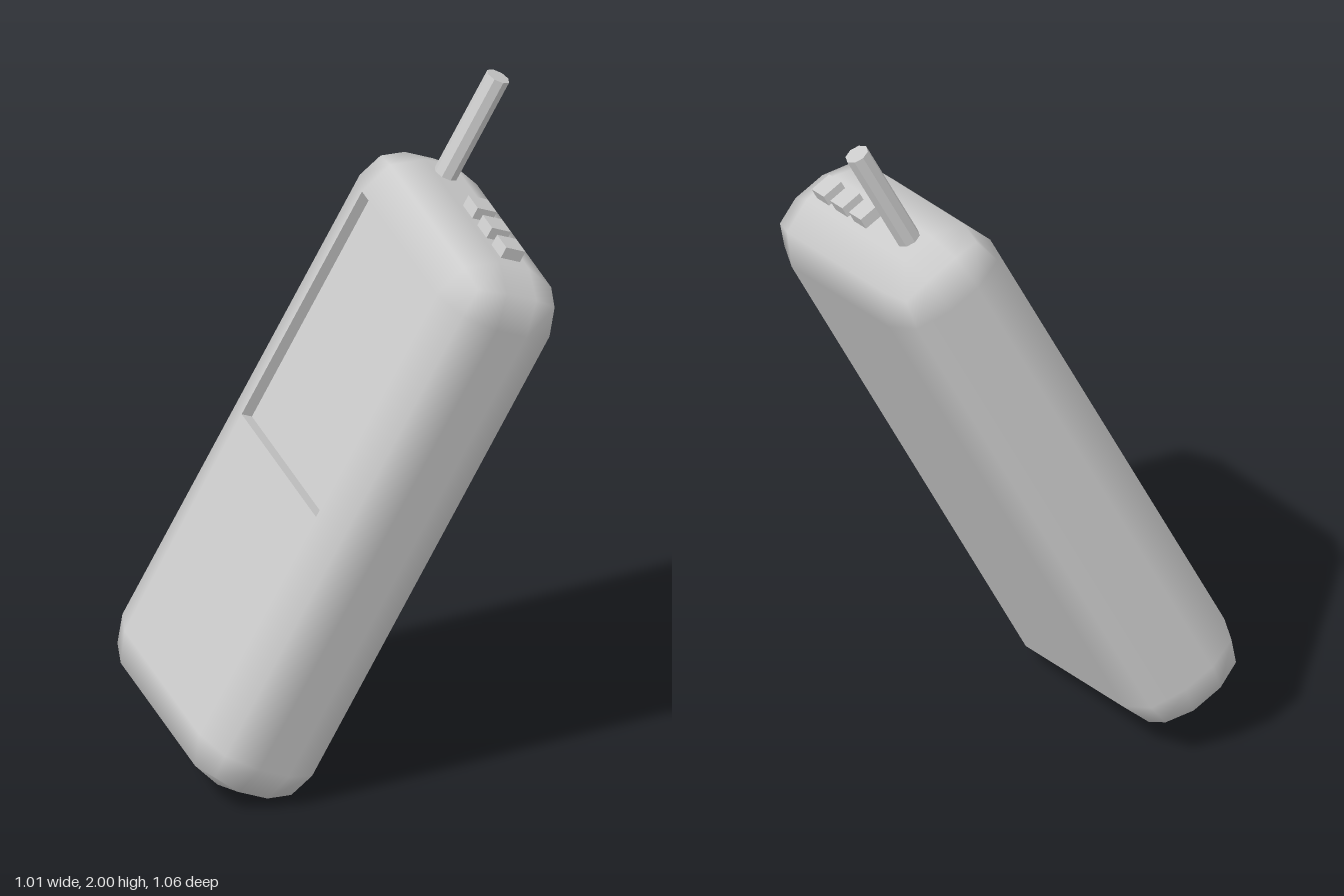
import * as THREE from 'three';
import { RoundedBoxGeometry } from 'three/addons/geometries/RoundedBoxGeometry.js';

// body half sizes (thickness, height, width) and edge radius
const HX = 0.19, HY = 0.88, HZ = 0.4, R = 0.14;
const FLAT_Y = HY - R, FLAT_Z = HZ - R;
const DEPTH = 0.035, SCREEN_BOTTOM = -0.01;

// removes the triangles lying in the plane x = value
function withoutPlane(source, value) {
  const geo = source.index ? source.toNonIndexed() : source;
  const p = geo.attributes.position, n = geo.attributes.normal;
  const pos = [], nor = [];
  for (let i = 0; i < p.count; i += 3) {
    if ([0, 1, 2].every(k => Math.abs(p.getX(i + k) - value) < 1e-4)) continue;
    for (let k = 0; k < 3; k++) {
      pos.push(p.getX(i + k), p.getY(i + k), p.getZ(i + k));
      nor.push(n.getX(i + k), n.getY(i + k), n.getZ(i + k));
    }
  }
  const out = new THREE.BufferGeometry();
  out.setAttribute('position', new THREE.Float32BufferAttribute(pos, 3));
  out.setAttribute('normal', new THREE.Float32BufferAttribute(nor, 3));
  return out;
}

export function createModel() {
  const model = new THREE.Group();
  model.name = 'handheldRadio';
  const grey = new THREE.MeshStandardMaterial({ color: 0xcccccc });
  grey.name = 'grey';

  const radio = new THREE.Group();
  radio.name = 'tiltedRadio';
  model.add(radio);
  const add = (name, geo, x = 0, y = 0, z = 0) => {
    const mesh = new THREE.Mesh(geo, grey);
    mesh.name = name;
    mesh.position.set(x, y, z);
    radio.add(mesh);
  };

  // rounded case, open on the flat of its screen side
  const shell = new RoundedBoxGeometry(2 * HX, 2 * HY, 2 * HZ, 1, R);
  add('case', withoutPlane(shell, -HX));

  // lower flat panel of the screen side
  const panelHeight = SCREEN_BOTTOM + FLAT_Y;
  const panel = new THREE.PlaneGeometry(2 * FLAT_Z, panelHeight).rotateY(-Math.PI / 2);
  add('lowerPanel', panel, -HX, (SCREEN_BOTTOM - FLAT_Y) / 2, 0);

  // recessed screen: an inside-out box without its outer face
  const box = new THREE.BoxGeometry(DEPTH, FLAT_Y - SCREEN_BOTTOM, 2 * FLAT_Z).scale(-1, 1, 1);
  const recess = withoutPlane(box, -DEPTH / 2);
  recess.computeVertexNormals();
  add('screenRecess', recess, -HX + DEPTH / 2, (FLAT_Y + SCREEN_BOTTOM) / 2, 0);

  // three buttons on the top
  for (let i = 0; i < 3; i++) {
    add('button' + (i + 1), new THREE.BoxGeometry(0.065, 0.065, 0.065), 0, HY + 0.002, i * 0.1);
  }

  // eight-sided antenna
  const antenna = new THREE.CylinderGeometry(0.035, 0.035, 0.4, 8).toNonIndexed();
  antenna.computeVertexNormals();
  add('antenna', antenna, -0.01, 1.008, -0.2);

  // tilt the whole radio
  const up = new THREE.Vector3(0.402, 0.897, 0.185).normalize();
  const side = new THREE.Vector3(0.913, -0.408, -0.018);
  const wide = new THREE.Vector3().crossVectors(side, up).normalize();
  side.crossVectors(up, wide);
  radio.quaternion.setFromRotationMatrix(new THREE.Matrix4().makeBasis(side, up, wide));
  radio.position.set(-0.022, 0.865, 0);
  return model;
}
